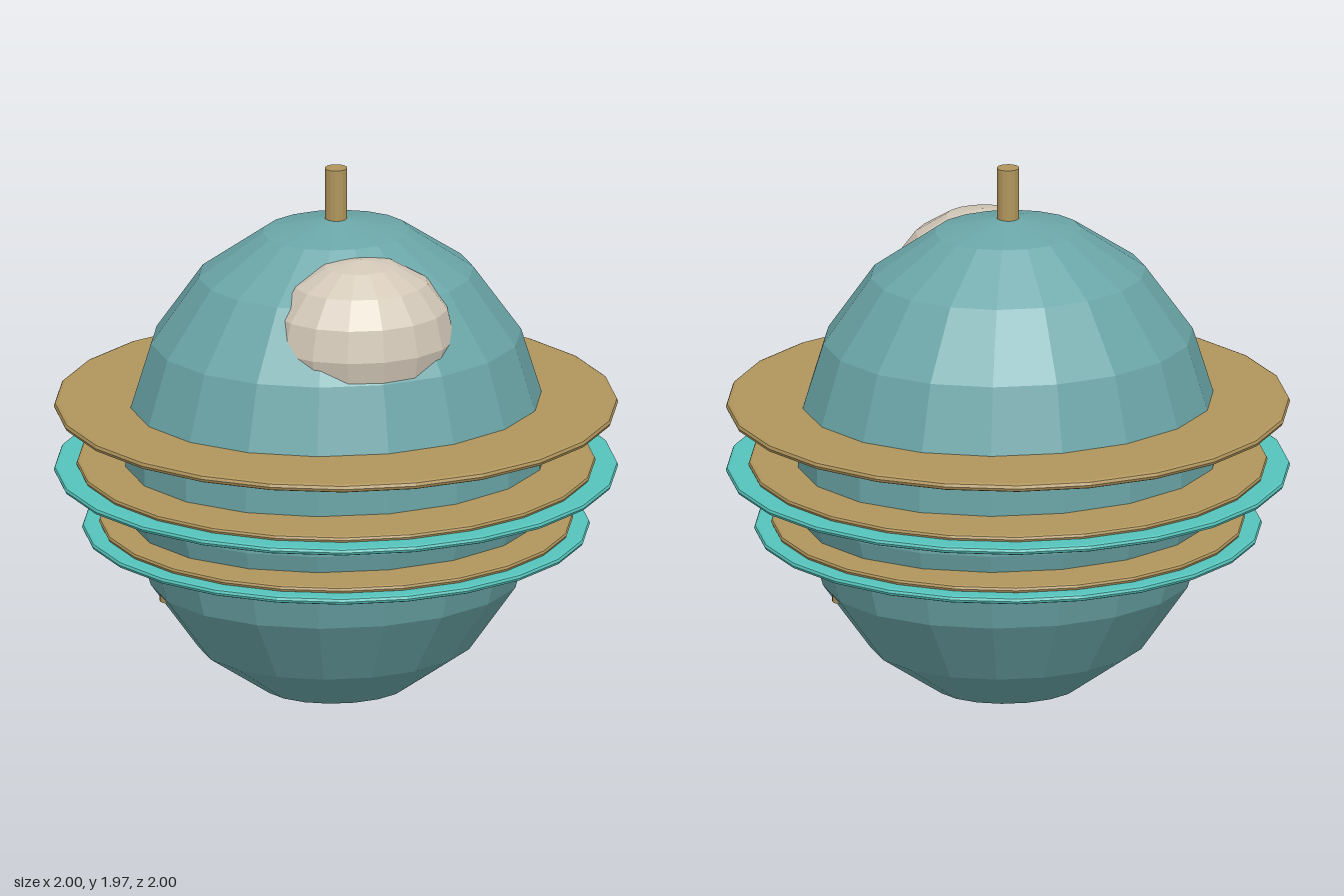
import * as THREE from 'three';

const paint = (color) => new THREE.MeshStandardMaterial({ color, flatShading: true });

export function createModel() {
  const model = new THREE.Group();
  const teal = paint(0x6ba6a8), aqua = paint(0x56c4bc), gold = paint(0xb0955c), cream = paint(0xd3c8b8);

  const add = (name, geometry, material, x = 0, y = 0, z = 0) => {
    const mesh = new THREE.Mesh(geometry, material);
    mesh.name = name;
    mesh.position.set(x, y, z);
    model.add(mesh);
    return mesh;
  };

  // Faceted ellipsoid with a column of corners facing front and back
  const ellipsoid = (rx, ry, rz, around, rows) =>
    new THREE.SphereGeometry(1, around, rows).rotateY(Math.PI / 2).scale(rx, ry, rz);

  // Flat disc with a rounded rim, hidden inside the body at its middle
  const disc = (radius, thickness) => {
    const h = thickness / 2;
    const profile = [
      [0, -h], [radius - h, -h], [radius - h * 0.3, -h * 0.7], [radius, 0],
      [radius - h * 0.3, h * 0.7], [radius - h, h], [0, h],
    ].map(([r, y]) => new THREE.Vector2(r, y));
    return new THREE.LatheGeometry(profile, 24);
  };

  // Egg-shaped body and the pale bulge on its front
  add('body', ellipsoid(0.766, 0.897, 0.684, 18, 9), teal, 0, 0.905, 0);
  add('frontBulge', ellipsoid(0.34, 0.295, 0.295, 16, 8), cream, 0, 1.44, 0.31);

  // Stacked rings around the waist
  const rings = [
    ['upperRing', 1.0, 0.03, 1.103, gold],
    ['middleRingTop', 0.92, 0.024, 0.888, gold],
    ['middleRingBase', 1.0, 0.026, 0.867, aqua],
    ['lowerRingTop', 0.84, 0.024, 0.674, gold],
    ['lowerRingBase', 0.9, 0.026, 0.652, aqua],
  ];
  for (const [name, radius, thickness, y, material] of rings) add(name, disc(radius, thickness), material, 0, y, 0);

  // Post on top and two pegs just breaking through the lower sides
  const post = new THREE.CylinderGeometry(0.04, 0.04, 0.2, 16);
  add('topPost', post, gold, 0, 1.88, 0);
  for (const side of [1, -1]) add(side > 0 ? 'leftPeg' : 'rightPeg', post, gold, side * 0.61, 0.526, 0);

  return model;
}
